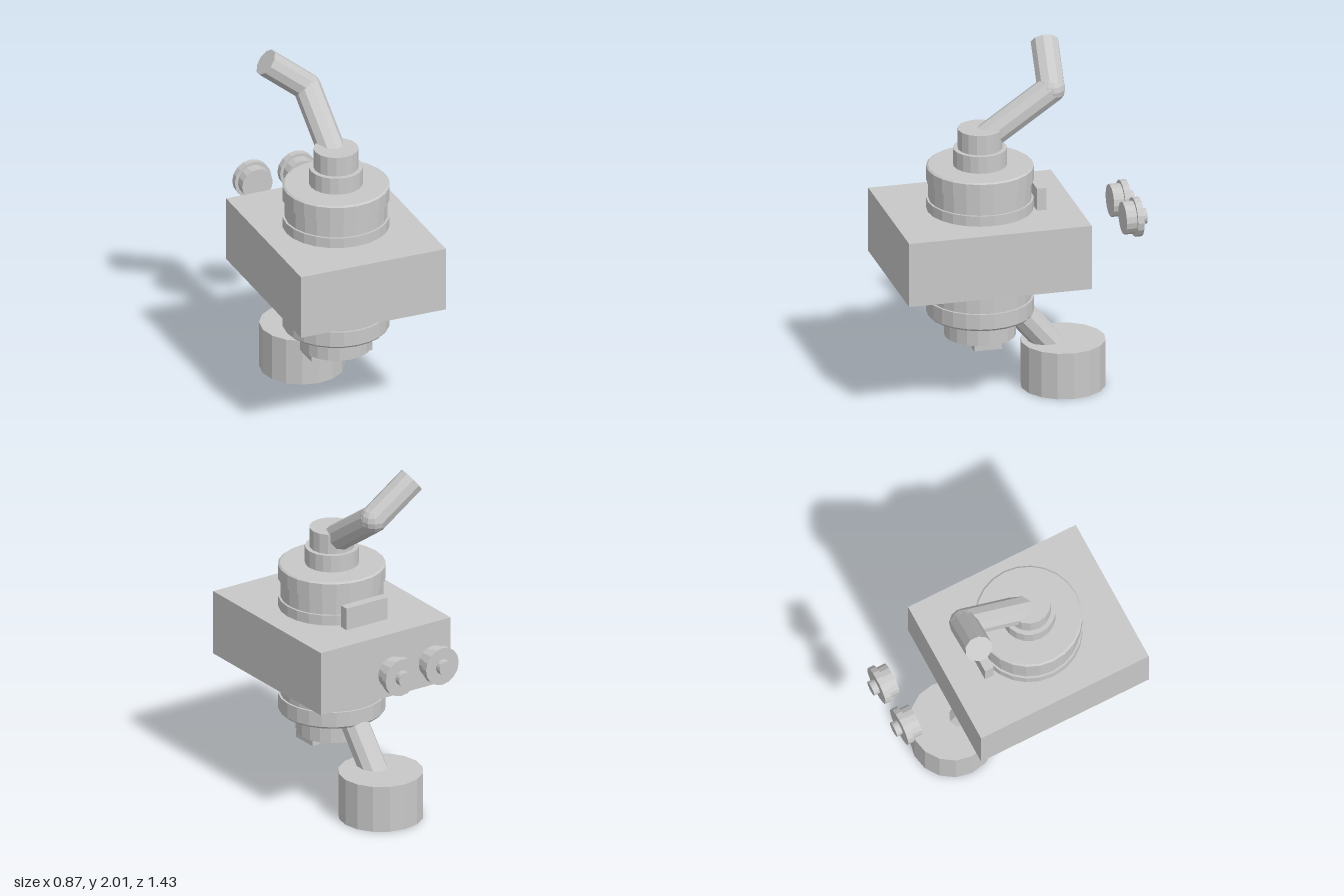
import * as THREE from 'three';

export function createModel() {
  const model = new THREE.Group();
  const grey = new THREE.MeshStandardMaterial({ color: 0xc8c8c8, flatShading: true });
  grey.name = 'light grey';
  const AXIS_Z = 0.195; // the turned body sits forward of centre

  function add(name, geometry, x = 0, y = 0, z = 0) {
    const mesh = new THREE.Mesh(geometry, grey);
    mesh.name = name;
    mesh.position.set(x, y, z);
    model.add(mesh);
    return mesh;
  }

  // profile: [radius, height] from bottom to top
  const lathe = (profile, sides) =>
    new THREE.LatheGeometry(profile.map(([r, h]) => new THREE.Vector2(r, h)), sides);

  function box(name, x0, x1, y0, y1, z0, z1) {
    add(name, new THREE.BoxGeometry(x1 - x0, y1 - y0, z1 - z0),
      (x0 + x1) / 2, (y0 + y1) / 2, (z0 + z1) / 2);
  }

  function pipe(name, from, to, radius) {
    const dir = to.clone().sub(from);
    const mesh = add(name, new THREE.CylinderGeometry(radius, radius, dir.length(), 10));
    mesh.position.copy(from).addScaledVector(dir, 0.5);
    mesh.quaternion.setFromUnitVectors(new THREE.Vector3(0, 1, 0), dir.normalize());
  }

  // Central block
  box('centralBlock', -0.436, 0.436, 0.725, 1.1, -0.328, 0.717);

  // Upper stepped drum with two flanges
  add('upperDrum', lathe([
    [0, 1.08], [0.298, 1.08], [0.298, 1.16], [0.286, 1.16], [0.286, 1.265],
    [0.298, 1.265], [0.298, 1.348], [0.288, 1.356], [0, 1.356],
  ], 24), 0, 0, AXIS_Z);
  add('upperCollar', new THREE.CylinderGeometry(0.15, 0.15, 0.12, 20), 0, 1.395, AXIS_Z);
  add('topCap', new THREE.CylinderGeometry(0.125, 0.125, 0.15, 16), 0, 1.495, AXIS_Z);

  // Lower stepped drum and its foot
  add('lowerDrum', lathe([
    [0, 0.475], [0.288, 0.475], [0.298, 0.487], [0.298, 0.575], [0.286, 0.575],
    [0.286, 0.715], [0.298, 0.715], [0.298, 0.74], [0, 0.74],
  ], 24), 0, 0, AXIS_Z);
  add('lowerFoot', new THREE.CylinderGeometry(0.2, 0.2, 0.15, 20), 0, 0.425, AXIS_Z);
  for (const s of [-1, 1]) {
    add('footTab', new THREE.BoxGeometry(0.055, 0.05, 0.158), s * 0.156, 0.343, 0.198);
  }

  // Plate behind the upper drum
  box('rearPlate', -0.138, 0.138, 1.1, 1.23, -0.148, -0.095);

  // Bent outlet pipe
  const elbow = new THREE.Vector3(0, 1.76, -0.212);
  pipe('outletPipe', new THREE.Vector3(0, 1.485, 0.195), elbow, 0.079);
  pipe('outletPipeEnd', elbow, new THREE.Vector3(-0.236, 1.947, -0.238), 0.079);
  add('pipeElbow', new THREE.SphereGeometry(0.079, 12, 8), elbow.x, elbow.y, elbow.z);

  // Lower canister and connecting pipe
  add('canister', new THREE.CylinderGeometry(0.237, 0.237, 0.27, 16), 0, 0.135, -0.28);
  pipe('canisterPipe', new THREE.Vector3(0, 0.56, 0.054), new THREE.Vector3(0, 0.17, -0.274), 0.08);

  // Pair of stepped knobs behind the block
  for (const s of [-1, 1]) {
    const knob = add('rearKnob', lathe([
      [0, 0], [0.092, 0], [0.092, 0.06], [0.11, 0.06], [0.11, 0.097],
      [0.043, 0.097], [0.043, 0.132], [0, 0.132],
    ], 16), s * 0.136, 1.005, -0.585);
    knob.rotation.x = -Math.PI / 2;
  }

  return model;
}
